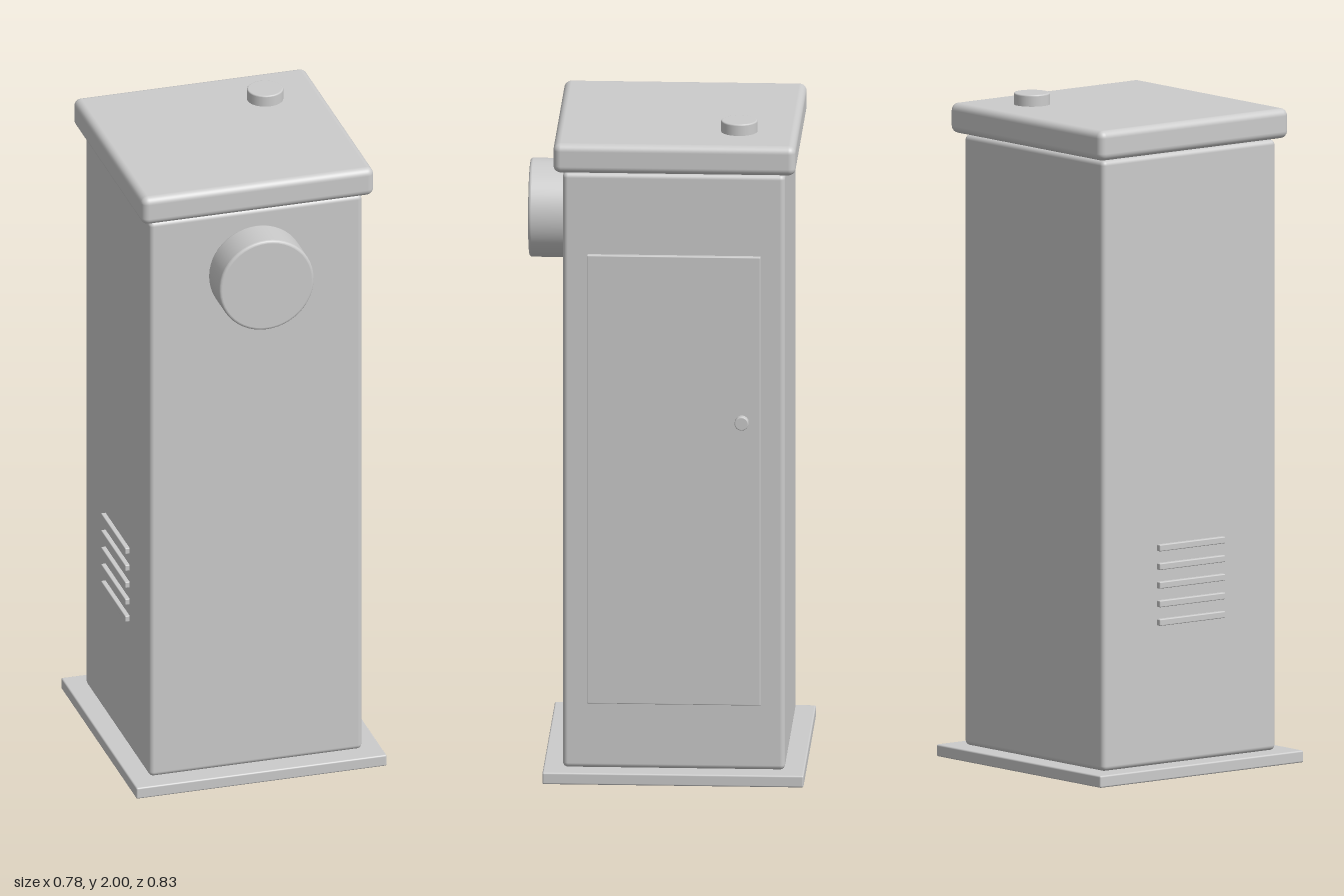
import * as THREE from 'three';
import { RoundedBoxGeometry } from 'three/addons/geometries/RoundedBoxGeometry.js';

const material = new THREE.MeshStandardMaterial({ color: 0xcccccc });
const CZ = -0.0275; // cabinet centre in z

function add(parent, name, geometry, x, y, z) {
  const mesh = new THREE.Mesh(geometry, material);
  mesh.name = name;
  mesh.position.set(x, y, z);
  parent.add(mesh);
  return mesh;
}

const box = (w, h, d, r) => new RoundedBoxGeometry(w, h, d, 4, r);

// Disc along y with rounded rims; support points keep the flats flat
function roundedDisc(radius, height, bevel, sides) {
  const h = height / 2, e = bevel * 0.05;
  const pts = [new THREE.Vector2(0, -h), new THREE.Vector2(radius - bevel - e, -h)];
  for (const s of [-1, 1]) {
    if (s > 0) pts.push(new THREE.Vector2(radius, h - bevel - e));
    for (let i = 0; i <= 4; i++) {
      const a = (s < 0 ? i - 4 : i) * Math.PI / 8;
      pts.push(new THREE.Vector2(
        radius - bevel + bevel * Math.cos(a),
        s * (h - bevel) + bevel * Math.sin(a)));
    }
    if (s < 0) pts.push(new THREE.Vector2(radius, -h + bevel + e));
  }
  pts.push(new THREE.Vector2(radius - bevel - e, h), new THREE.Vector2(0, h));
  return new THREE.LatheGeometry(pts, sides);
}

export function createModel() {
  const model = new THREE.Group();
  model.name = 'cabinet';

  // Main shell: base plate, tall body and overhanging lid
  add(model, 'basePlate', box(0.776, 0.036, 0.776, 0.005), 0, 0.018, CZ);
  add(model, 'body', box(0.66, 1.834, 0.66, 0.015), 0, 0.953, CZ);
  add(model, 'lid', box(0.72, 0.09, 0.72, 0.022), 0, 1.92, -0.03);

  // Round cap on the lid
  add(model, 'topCap', roundedDisc(0.054, 0.045, 0.004, 32), 0.184, 1.9775, -0.215);

  // Round housing on the front
  add(model, 'frontHousing', roundedDisc(0.147, 0.115, 0.008, 48), 0, 1.67, 0.3575)
    .rotation.x = Math.PI / 2;

  // Access door and its knob on the +x side
  add(model, 'door', box(0.025, 1.382, 0.516, 0.003), 0.333, 0.93, CZ);
  add(model, 'doorKnob', roundedDisc(0.021, 0.026, 0.003, 16), 0.353, 1.113, -0.23)
    .rotation.z = -Math.PI / 2;

  // Louvre slats on the -x side
  const vents = new THREE.Group();
  vents.name = 'ventSlats';
  for (let i = 0; i < 5; i++) {
    add(vents, 'ventSlat', box(0.02, 0.02, 0.25, 0.003), -0.334, 0.465 + i * 0.056, CZ);
  }
  model.add(vents);

  return model;
}
